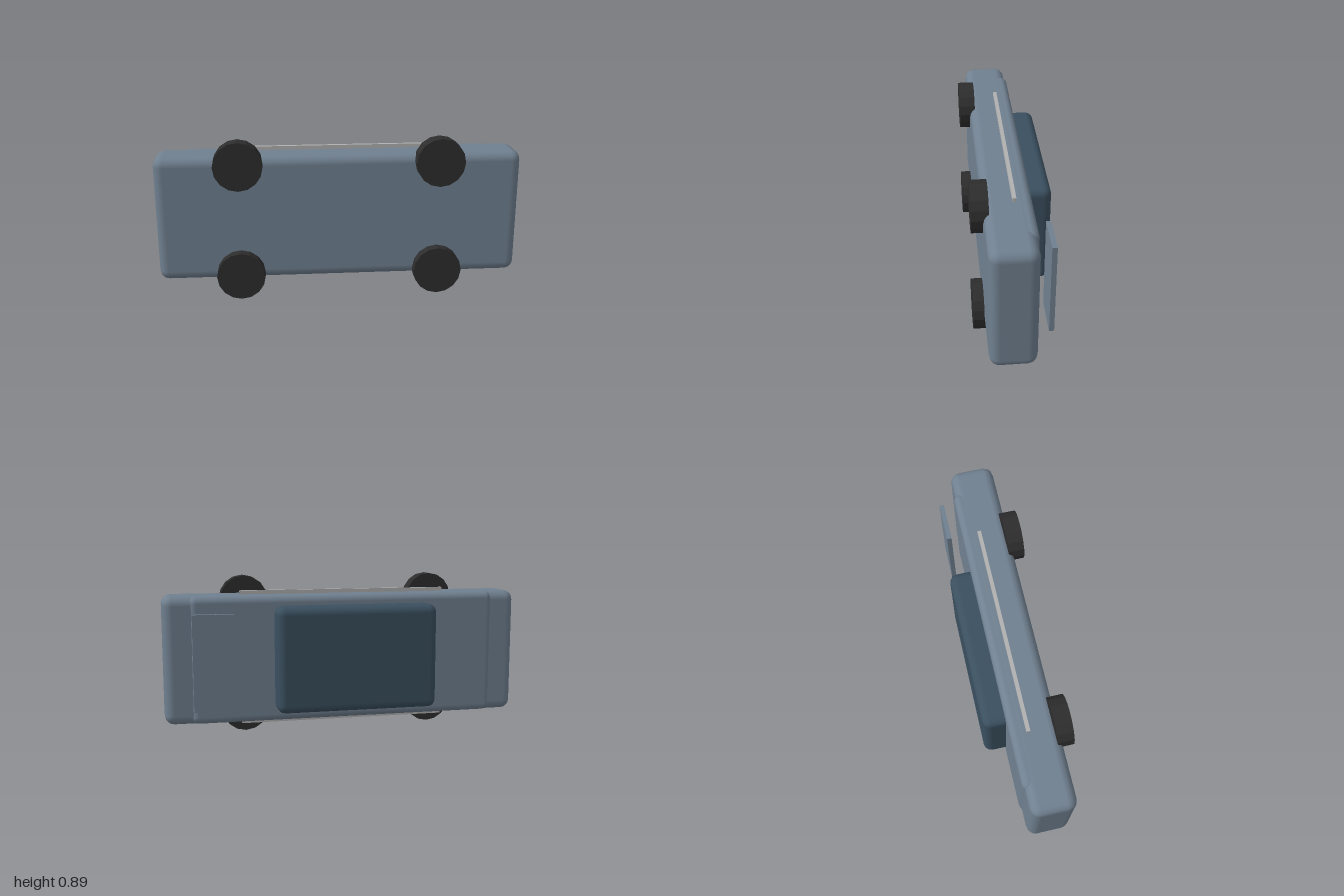
import * as THREE from 'three';
import { RoundedBoxGeometry } from 'three/addons/geometries/RoundedBoxGeometry.js';

const material = (name, color, extra = {}) => {
  const m = new THREE.MeshStandardMaterial({ color, ...extra });
  m.name = name;
  return m;
};

export function createModel() {
  const car = new THREE.Group();
  car.name = 'carOnItsSide';
  const paint = material('slateBluePaint', 0x708090);
  const cabinPaint = material('darkBlueCabin', 0x3a4f5f);
  const rubber = material('blackRubber', 0x2d2d2d, { flatShading: true });
  const metal = material('greyTrim', 0xb0b0b0);

  // Box given by its extents on each axis; a radius rounds its edges
  const box = (name, mat, [x0, x1], [y0, y1], [z0, z1], radius = 0) => {
    const size = [x1 - x0, y1 - y0, z1 - z0];
    const geo = radius
      ? new RoundedBoxGeometry(...size, 2, radius)
      : new THREE.BoxGeometry(...size);
    const mesh = new THREE.Mesh(geo, mat);
    mesh.name = name;
    mesh.position.set((x0 + x1) / 2, (y0 + y1) / 2, (z0 + z1) / 2);
    car.add(mesh);
  };

  // Body shells, cabin and rear wing; the roof points to -z
  box('lowerBody', paint, [-1, 1], [0.094, 0.794], [-0.083, 0.159], 0.053);
  box('upperBody', paint, [-0.86, 0.86], [0.096, 0.792], [-0.094, 0.03], 0.04);
  box('cabin', cabinPaint, [-0.49, 0.404], [0.155, 0.735], [-0.214, -0.02], 0.045);
  box('rearWing', paint, [0.628, 0.848], [0.186, 0.704], [-0.177, -0.151]);

  // Trim strips on both flanks
  box('upperSideTrim', metal, [-0.58, 0.58], [0.78, 0.815], [-0.01, 0.01]);
  box('lowerSideTrim', metal, [-0.58, 0.58], [0.075, 0.11], [-0.01, 0.01]);

  // Four wheels, lying flat against the underside
  const wheelGeo = new THREE.CylinderGeometry(0.133, 0.133, 0.087, 16).rotateX(Math.PI / 2);
  for (const x of [-0.547, 0.543]) {
    for (const y of [0.133, 0.755]) {
      const wheel = new THREE.Mesh(wheelGeo, rubber);
      wheel.name = `${x < 0 ? 'front' : 'rear'}${y < 0.4 ? 'Lower' : 'Upper'}Wheel`;
      wheel.position.set(x, y, 0.1735);
      car.add(wheel);
    }
  }
  return car;
}
